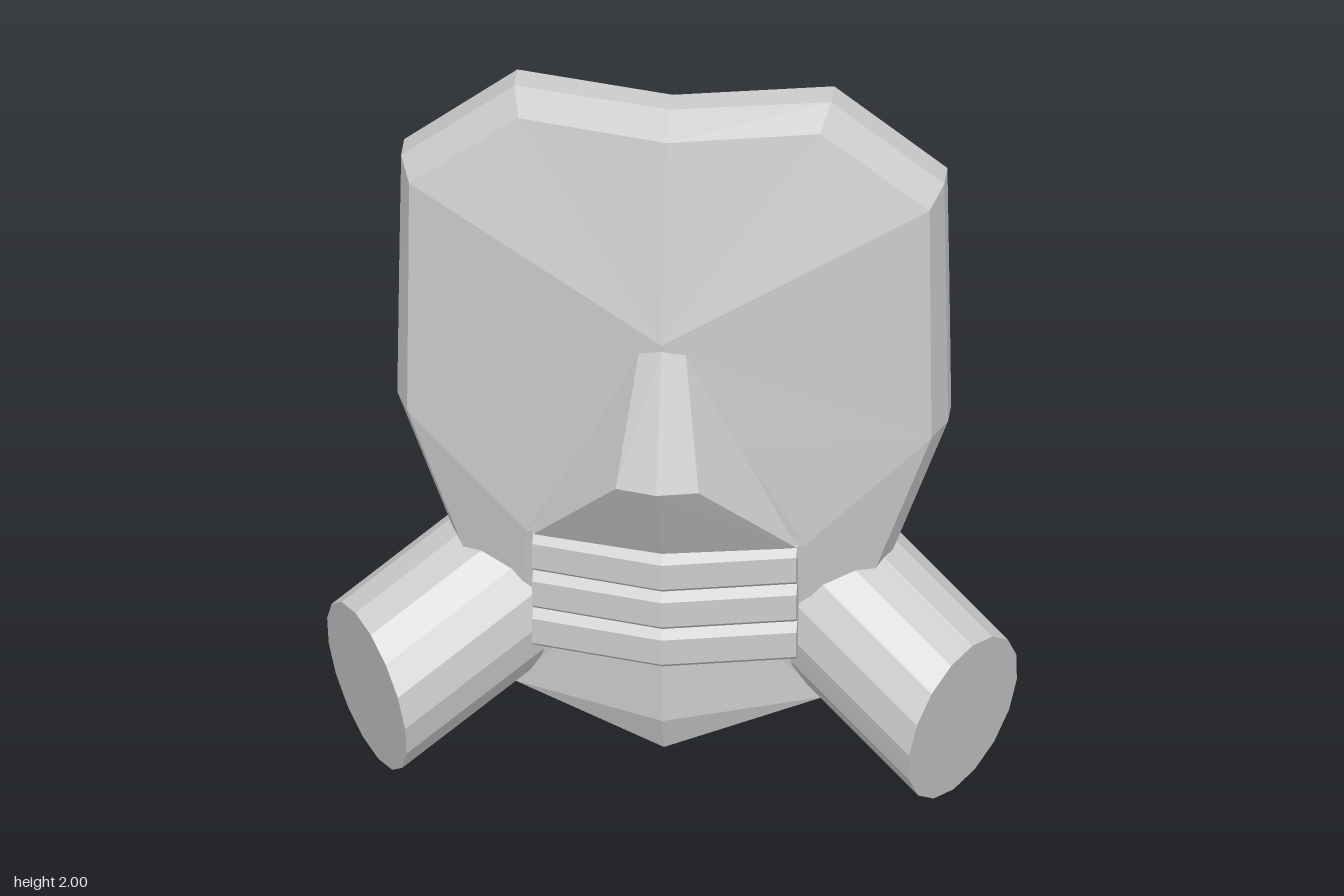
import * as THREE from 'three';

const material = new THREE.MeshStandardMaterial({ color: 0xcccccc, flatShading: true, side: THREE.DoubleSide });

function makeMesh(name, positions) {
  const geometry = new THREE.BufferGeometry();
  geometry.setAttribute('position', new THREE.Float32BufferAttribute(positions, 3));
  geometry.computeVertexNormals();
  const mesh = new THREE.Mesh(geometry, material);
  mesh.name = name;
  return mesh;
}

// Faces of the left half (clockwise seen from outside), mirrored across x = 0
function mirroredPatch(name, points, faces) {
  const out = [];
  for (const f of faces) {
    for (let i = 1; i < f.length - 1; i++) {
      const [a, b, c] = [points[f[0]], points[f[i]], points[f[i + 1]]];
      out.push(...a, ...c, ...b);
      for (const [x, y, z] of [a, b, c]) out.push(-x, y, z);
    }
  }
  return makeMesh(name, out);
}

// Quads between half rings of 8 points stored one after another
function ringQuads(rings) {
  const faces = [];
  for (let r = 0; r < rings - 1; r++) {
    for (let i = r * 8; i < r * 8 + 7; i++) faces.push([i, i + 8, i + 9, i + 1]);
  }
  return faces;
}

// Skin through closed loops of equal length, with flat end caps
function loft(name, loops) {
  const out = [];
  const n = loops[0].length;
  for (let k = 0; k < loops.length - 1; k++) {
    const [A, B] = [loops[k], loops[k + 1]];
    for (let i = 0; i < n; i++) {
      const j = (i + 1) % n;
      out.push(...A[i], ...A[j], ...B[j], ...A[i], ...B[j], ...B[i]);
    }
  }
  const [first, last] = [loops[0], loops[loops.length - 1]];
  for (let i = 1; i < n - 1; i++) {
    out.push(...first[0], ...first[i + 1], ...first[i]);
    out.push(...last[0], ...last[i], ...last[i + 1]);
  }
  return makeMesh(name, out);
}

export function createModel() {
  const group = new THREE.Group();
  group.name = 'mask';

  // Outer shell: three half rings, from top centre to chin centre
  const front = [
    [0, 1.955, 0.075], [0.4, 1.955, -0.01], [0.69, 1.735, -0.01], [0.692, 1.43, -0.01],
    [0.695, 1.03, -0.01], [0.555, 0.64, -0.01], [0.41, 0.21, -0.01], [0, 0.22, 0.17],
  ];
  const outer = [
    [0, 2, -0.02], [0.42, 2, -0.1], [0.72, 1.765, -0.1], [0.725, 1.43, -0.1],
    [0.73, 1.03, -0.1], [0.59, 0.64, -0.1], [0.42, 0.175, -0.1], [0, 0.115, 0.13],
  ];
  const back = outer.map(([x, y, z]) => [x, y, x === 0 ? z - 0.075 : -0.18]);
  // Brow, bridge, cheek and lip points inside the rings
  const inner = [[0, 1.4, 0.195], [0, 1.08, 0.17], [0.2, 1.06, 0.14], [0, 0.74, 0.17], [0.37, 0.74, 0.09]];
  group.add(mirroredPatch('faceShell', [...front, ...outer, ...back, ...inner], [
    ...ringQuads(3),
    [24, 0, 1], [24, 1, 2], [24, 2, 3], [24, 3, 4], [24, 4, 26], [24, 26, 25],
    [25, 26, 28, 27], [26, 4, 28], [28, 4, 5], [28, 5, 6], [27, 28, 6, 7],
  ]));

  // Inner lining: set behind the shell, with a shallow nose and mouth hollow
  const lining = [
    [0, 1.96, -0.01], [0.4, 1.96, -0.085], [0.69, 1.74, -0.08], [0.69, 1.45, -0.08],
    [0.7, 1, -0.08], [0.56, 0.64, -0.09], [0.42, 0.22, -0.12], [0, 0.17, 0.06],
  ];
  const hollow = [
    [0, 1.42, 0.06], [0.045, 1.42, 0.05], [0, 1.02, 0.065],
    [0.11, 1.02, 0.06], [0, 0.63, 0.06], [0.38, 0.72, 0],
  ];
  group.add(mirroredPatch('lining', [...back, ...lining, ...hollow], [
    ...ringQuads(2),
    [16, 8, 9, 17], [17, 9, 10], [17, 10, 11], [17, 11, 12], [17, 12, 19], [16, 17, 19, 18],
    [18, 19, 21, 20], [19, 12, 21], [21, 12, 13], [21, 13, 14], [20, 21, 14, 15],
  ]));

  // Faceted nose
  group.add(mirroredPatch('nose', [
    [0, 1.38, 0.195], [0.06, 1.38, 0.17], [0, 1.02, 0.335],
    [0.11, 1.02, 0.31], [0, 0.745, 0.18], [0.35, 0.735, 0.1],
  ], [[0, 1, 3, 2], [1, 5, 3], [2, 3, 5, 4]]));

  // Three V-shaped bars over the mouth, profile as [y, z] offsets
  const profile = [[0, -0.03], [-0.02, 0], [-0.095, 0], [-0.115, -0.025], [-0.115, -0.1], [0, -0.1]];
  const mouth = new THREE.Group();
  mouth.name = 'mouthGrille';
  for (let k = 0; k < 3; k++) {
    const top = 0.74 - k * 0.116;
    const loops = [[-0.35, 0.125], [0, 0.2], [0.35, 0.125]].map(
      ([x, z]) => profile.map(([dy, dz]) => [x, top + dy, z + dz]));
    mouth.add(loft('mouthBar', loops));
  }
  group.add(mouth);

  // Filter canisters: an oval end swept back, up and inward
  const sides = 16;
  for (const s of [1, -1]) {
    const ring = (cx, cy, cz) => Array.from({ length: sides }, (_, i) => {
      const a = s * i / sides * Math.PI * 2;
      const [c, d] = [Math.cos(a), Math.sin(a)];
      return [s * (cx + 0.028 * c - 0.122 * d), cy + 0.24 * c, cz + 0.025 * c + 0.205 * d];
    });
    const name = s > 0 ? 'leftCanister' : 'rightCanister';
    group.add(loft(name, [ring(0.45, 0.44, -0.135), ring(0.79, 0.24, 0.105)]));
  }
  return group;
}
